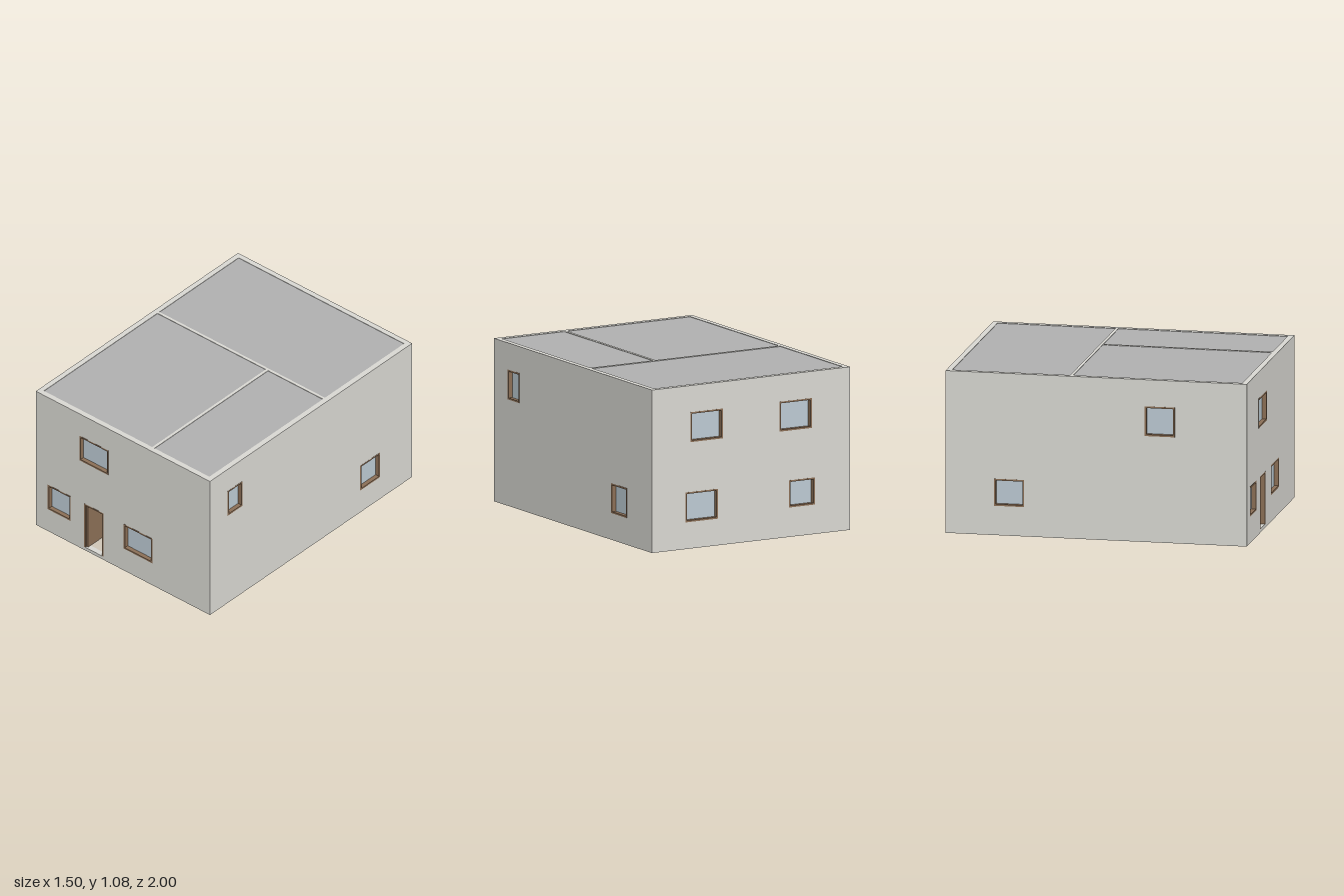
import * as THREE from 'three';

const W = 1.5, D = 2, H = 1.08, T = 0.037, FRAME = 0.011, MID = 0.54;

const material = (color) => new THREE.MeshStandardMaterial({ color });
const wallMat = material(0xd9d8d2);
const slabMat = material(0xb0b0b0);
const floorMat = material(0xd0c7b8);
const woodMat = material(0x8b6f56);
const glassMat = material(0xbccad3);

function box(name, x0, x1, y0, y1, z0, z1, mat) {
  const mesh = new THREE.Mesh(new THREE.BoxGeometry(x1 - x0, y1 - y0, z1 - z0), mat);
  mesh.position.set((x0 + x1) / 2, (y0 + y1) / 2, (z0 + z1) / 2);
  mesh.name = name;
  return mesh;
}

function rectangle(PathType, x0, x1, y0, y1) {
  return new PathType([[x0, y0], [x1, y0], [x1, y1], [x0, y1]].map(([x, y]) => new THREE.Vector2(x, y)));
}

// Panel with rectangular holes, its outer face at z = front
function panel(name, outline, holes, depth, front, mat) {
  const shape = rectangle(THREE.Shape, ...outline);
  holes.forEach((hole) => shape.holes.push(rectangle(THREE.Path, ...hole)));
  const geometry = new THREE.ExtrudeGeometry(shape, { depth, bevelEnabled: false });
  geometry.translate(0, 0, front - depth);
  const mesh = new THREE.Mesh(geometry, mat);
  mesh.name = name;
  return mesh;
}

// Window: wooden frame filling the opening, with a recessed pane
function makeWindow(x0, x1, y0, y1) {
  const group = new THREE.Group();
  group.name = 'window';
  const inner = [x0 + FRAME, x1 - FRAME, y0 + FRAME, y1 - FRAME];
  group.add(panel('windowFrame', [x0, x1, y0, y1], [inner], T + 0.002, 0.001, woodMat));
  group.add(box('windowPane', ...inner, -T + 0.002, -T + 0.008, glassMat));
  return group;
}

// Doorway: two jambs, a head and a leaf swung open into the room
function makeDoor(x0, x1, y0, y1) {
  const group = new THREE.Group();
  group.name = 'door';
  group.add(box('doorJamb', x0, x0 + FRAME, y0, y1, -T - 0.001, 0.001, woodMat));
  group.add(box('doorJamb', x1 - FRAME, x1, y0, y1, -T - 0.001, 0.001, woodMat));
  group.add(box('doorHead', x0 + FRAME, x1 - FRAME, y1 - FRAME, y1, -T - 0.001, 0.001, woodMat));
  group.add(box('doorLeaf', x0 + FRAME, x0 + 0.025, y0 + 0.002, y1 - FRAME, -T - 0.14, -0.012, woodMat));
  return group;
}

// Outer wall seen from outside, turned and moved to its side of the house
function makeWall(name, length, distance, angle, windows, door) {
  const group = new THREE.Group();
  group.name = name;
  const openings = door ? [...windows, door] : windows;
  group.add(panel(name + 'Panel', [-length / 2, length / 2, 0, H], openings, T, 0, wallMat));
  windows.forEach((opening) => group.add(makeWindow(...opening)));
  if (door) group.add(makeDoor(...door));
  group.rotation.y = angle;
  group.position.set(Math.sin(angle) * distance, 0, Math.cos(angle) * distance);
  return group;
}

export function createModel() {
  const house = new THREE.Group();
  house.name = 'house';
  const low = [0.177, 0.375], lowSmall = [0.195, 0.375], high = [0.705, 0.903];

  // Outer walls; openings run left to right as seen from outside
  house.add(makeWall('frontWall', W, D / 2, 0, [
    [-0.648, -0.45, ...low], [0.006, 0.256, ...low], [-0.375, -0.126, ...high],
  ], [-0.334, -0.167, 0.025, 0.375]));
  house.add(makeWall('backWall', W, D / 2, Math.PI, [
    [-0.495, -0.25, ...low], [0.288, 0.482, ...lowSmall],
    [-0.457, -0.213, ...high], [0.215, 0.461, ...high],
  ]));
  house.add(makeWall('leftWall', D - 2 * T, W / 2, Math.PI / 2, [
    [-0.826, -0.678, ...high], [0.485, 0.682, ...low],
  ]));
  house.add(makeWall('rightWall', D - 2 * T, W / 2, -Math.PI / 2, [
    [-0.678, -0.478, ...lowSmall], [0.322, 0.522, ...high],
  ]));

  // Floors and roof between the outer walls
  const x = W / 2 - T, z = D / 2 - T;
  house.add(box('groundFloor', -x, x, 0.003, 0.025, -z, z, floorMat));
  house.add(box('upperFloor', -x, x, MID - 0.012, MID + 0.012, -z, z, floorMat));
  house.add(box('roofSlab', -x, x, H - 0.025, H - 0.003, -z, z, slabMat));

  // Inner partitions, different on each storey
  const cross = -0.17, half = 0.01;
  house.add(box('crossPartition', -x, x, 0, H, cross - half, cross + half, wallMat));
  house.add(box('lowerPartition', 0.01 - half, 0.01 + half, 0, MID, -z, cross - half, wallMat));
  house.add(box('upperPartition', 0.23 - half, 0.23 + half, MID, H, cross + half, z, wallMat));
  return house;
}
